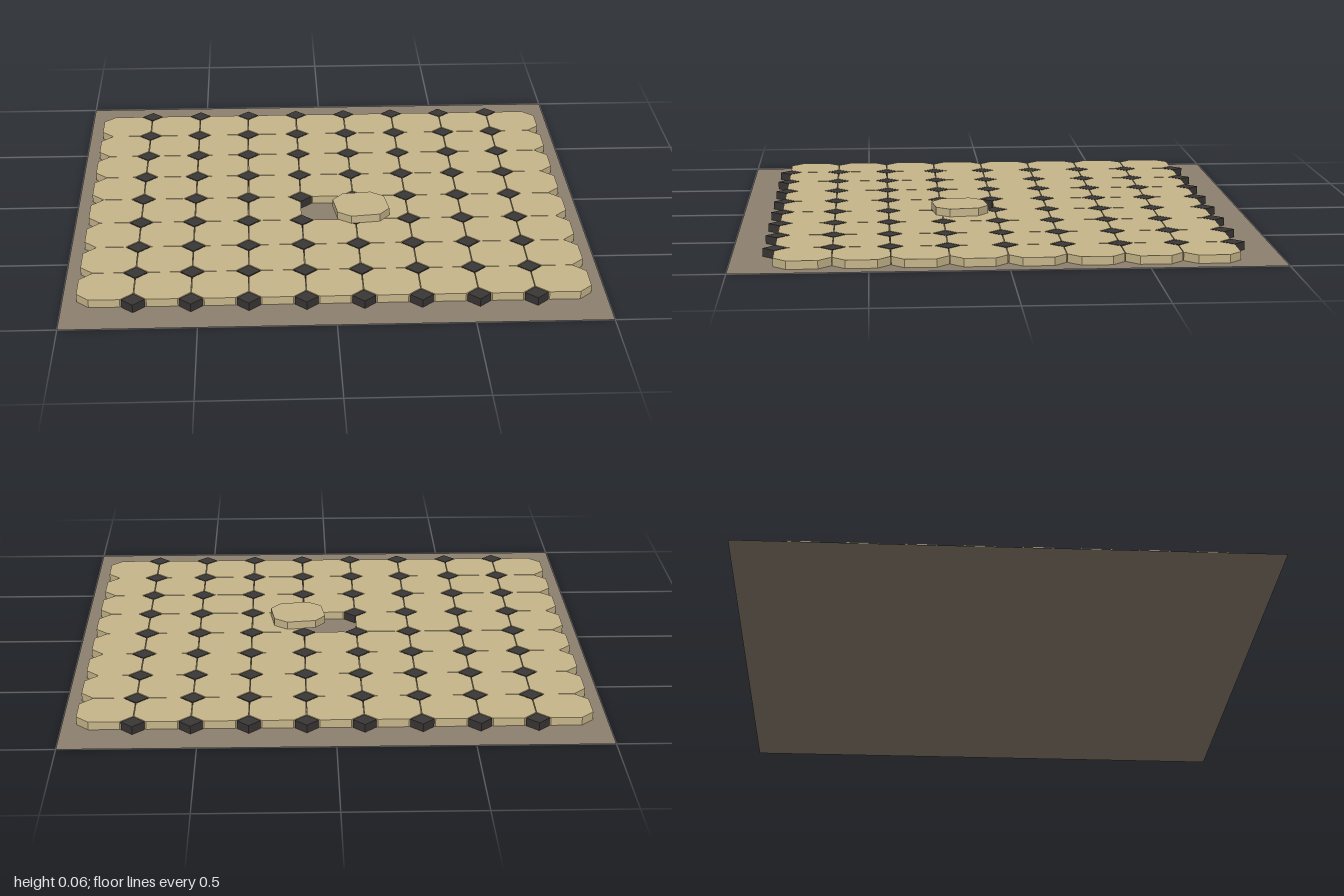
import * as THREE from 'three';

const PITCH = 0.2106, THICK = 0.031, LIFT = 0.001;
const COLS = 9, ROWS = 8;

// Square slab with clipped corners, standing on y = 0
function tileGeometry(half, cut) {
  const a = half - cut;
  const outline = [[a, -half], [half, -a], [half, a], [a, half], [-a, half], [-half, a], [-half, -a], [-a, -half]];
  const shape = new THREE.Shape(outline.map(([x, y]) => new THREE.Vector2(x, y)));
  const geo = new THREE.ExtrudeGeometry(shape, { depth: THICK, bevelEnabled: false });
  return geo.rotateX(-Math.PI / 2);
}

export function createModel() {
  const model = new THREE.Group();
  model.name = 'tiledFloor';

  const sand = new THREE.MeshStandardMaterial({ color: 0xc6b58a });
  sand.name = 'sandStone';
  const dark = new THREE.MeshStandardMaterial({ color: 0x3a3636 });
  dark.name = 'darkStone';
  const mortar = new THREE.MeshStandardMaterial({ color: 0x8c7f6e, side: THREE.DoubleSide });
  mortar.name = 'mortar';

  const add = (name, geo, mat, x, y, z) => {
    const mesh = new THREE.Mesh(geo, mat);
    mesh.name = name;
    mesh.position.set(x, y, z);
    model.add(mesh);
    return mesh;
  };

  // Flat mortar bed
  add('mortarBed', new THREE.PlaneGeometry(2, 2).rotateX(-Math.PI / 2), mortar, 0, 0, 0);

  // Octagonal tiles, with one pulled out of its place
  const tile = tileGeometry(0.104, 0.047);
  for (let i = 0; i < COLS; i++) {
    for (let j = 0; j < ROWS; j++) {
      if (i === 4 && j === 4) continue;
      add('tile', tile, sand, (i - (COLS - 1) / 2) * PITCH, LIFT, (j - (ROWS - 1) / 2) * PITCH);
    }
  }

  // Small diamond insets on the tile corners
  const side = 0.043 * Math.SQRT2;
  const inset = new THREE.BoxGeometry(side, THICK, side).rotateY(Math.PI / 4);
  for (let i = 0; i < COLS - 1; i++) {
    for (let j = 0; j <= ROWS; j++) {
      add('diamondInset', inset, dark, (i - (COLS - 2) / 2) * PITCH, LIFT + THICK / 2, (j - ROWS / 2) * PITCH);
    }
  }

  // Loose tile lying askew on its neighbours
  add('looseTile', tile, sand, 0.13, LIFT + THICK + 0.0005, 0.14).rotation.y = 0.13;

  return model;
}
